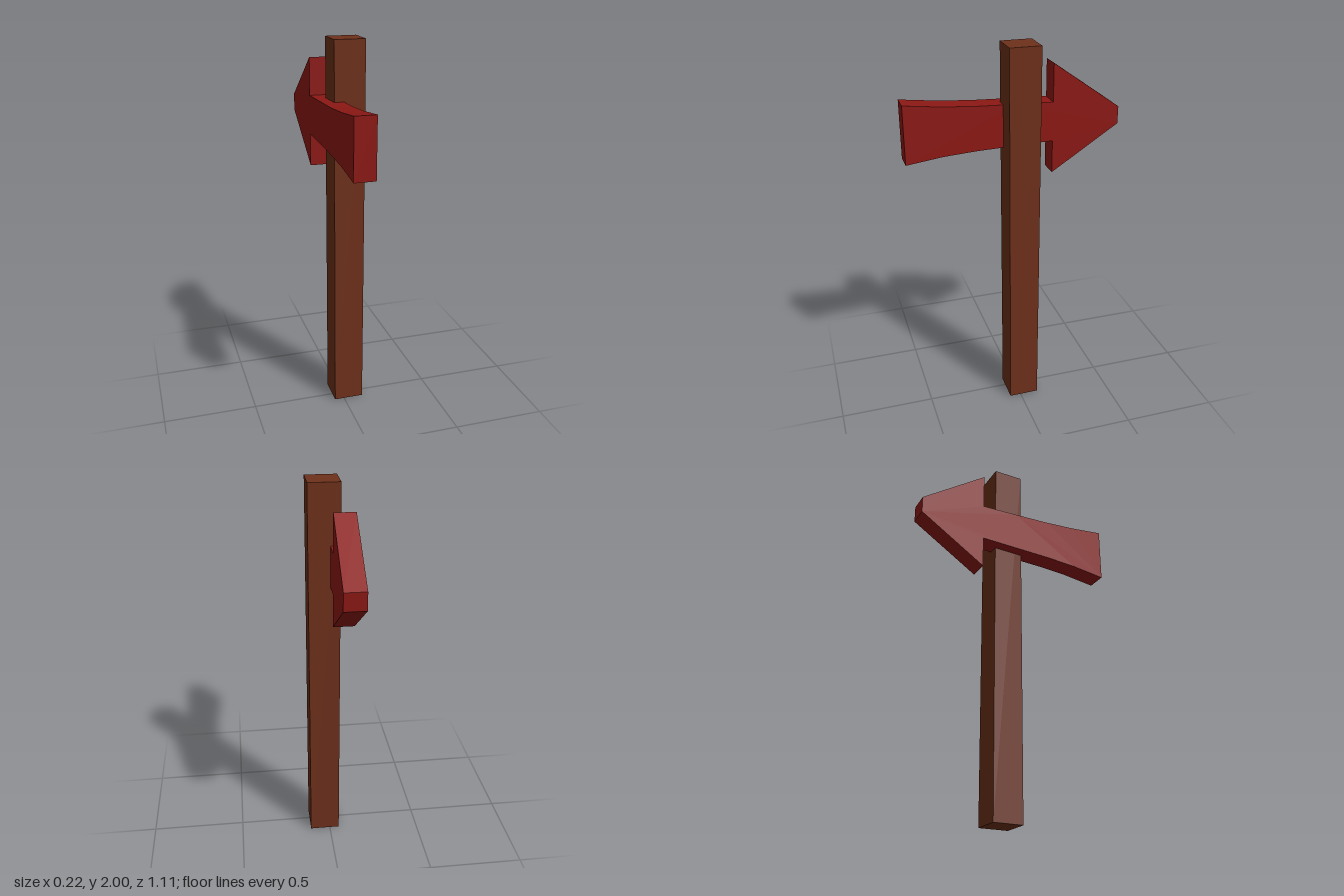
import * as THREE from 'three';

export function createModel() {
  const group = new THREE.Group();
  group.name = 'arrowSignpost';

  const wood = new THREE.MeshStandardMaterial({ color: 0x6e301b, flatShading: true });
  const red = new THREE.MeshStandardMaterial({ color: 0x8c1814, flatShading: true });

  // Square wooden post
  const post = new THREE.Mesh(new THREE.BoxGeometry(0.16, 2, 0.16), wood);
  post.name = 'post';
  post.position.set(0.028, 1, -0.02);
  group.add(post);

  // Arrow board outline: [distance towards the tip, lower y, upper y]
  const stations = [
    [-0.555, 1.44, 1.74],
    [-0.37, 1.464, 1.718],
    [-0.2, 1.475, 1.705],
    [0.0, 1.481, 1.697],
    [0.2, 1.487, 1.69],
    [0.2, 1.315, 1.885],
    [0.555, 1.545, 1.635],
  ];
  const lower = stations.map(([u, lo]) => new THREE.Vector2(u, lo));
  const upper = stations.map(([u, , hi]) => new THREE.Vector2(u, hi)).reverse();
  const outline = new THREE.Shape([...lower, ...upper]);

  // Board thickness runs along x, with the tip pointing to the back
  const boardGeometry = new THREE.ExtrudeGeometry(outline, { depth: 0.108, bevelEnabled: false });
  boardGeometry.rotateY(Math.PI / 2);
  boardGeometry.translate(-0.109, 0, 0);
  const board = new THREE.Mesh(boardGeometry, red);
  board.name = 'arrowBoard';
  group.add(board);

  return group;
}
